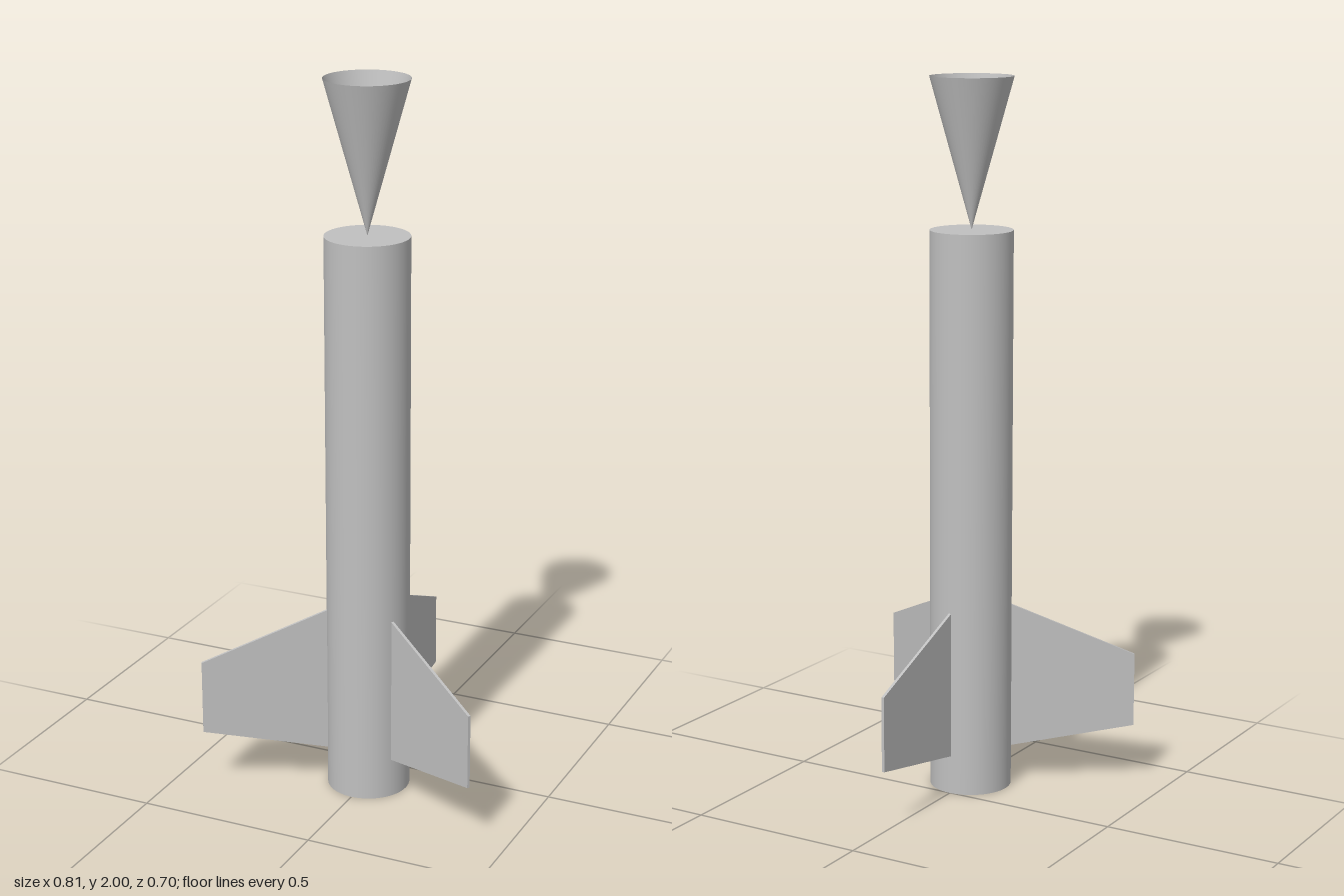
import * as THREE from 'three';

export function createModel() {
  const group = new THREE.Group();
  const grey = new THREE.MeshStandardMaterial({ color: 0xc0c0c0, side: THREE.DoubleSide });
  grey.name = 'grey';

  const radius = 0.115, bodyHeight = 1.585, axisZ = 0.114, thickness = 0.008;

  const add = (name, geometry, x, y, z) => {
    const mesh = new THREE.Mesh(geometry, grey);
    mesh.name = name;
    mesh.position.set(x, y, z);
    group.add(mesh);
    return mesh;
  };

  // Body tube with closed ends
  add('bodyTube', new THREE.CylinderGeometry(radius, radius, bodyHeight, 64), 0, bodyHeight / 2, axisZ);

  // Hollow cone standing on its tip, open at the top
  const coneHeight = 2 - bodyHeight;
  add('noseCone', new THREE.CylinderGeometry(radius, 0, coneHeight, 64, 1, true), 0, bodyHeight + coneHeight / 2, axisZ);

  // Three trapezoid fins, the first pointing to the back
  const outline = new THREE.Shape([
    [radius - 0.001, 0.11], [0.463, 0.172], [0.463, 0.382], [radius - 0.001, 0.527],
  ].map(([x, y]) => new THREE.Vector2(x, y)));
  const finGeometry = new THREE.ExtrudeGeometry(outline, { depth: thickness, bevelEnabled: false });
  finGeometry.translate(0, 0, -thickness / 2);
  for (let i = 0; i < 3; i++) {
    add('fin' + (i + 1), finGeometry, 0, 0, axisZ).rotation.y = Math.PI / 2 + i * Math.PI * 2 / 3;
  }

  // Small launch lug on the left side
  add('launchLug', new THREE.CylinderGeometry(0.0095, 0.0095, 0.14, 24), 0.1235, 0.284, axisZ);

  return group;
}
